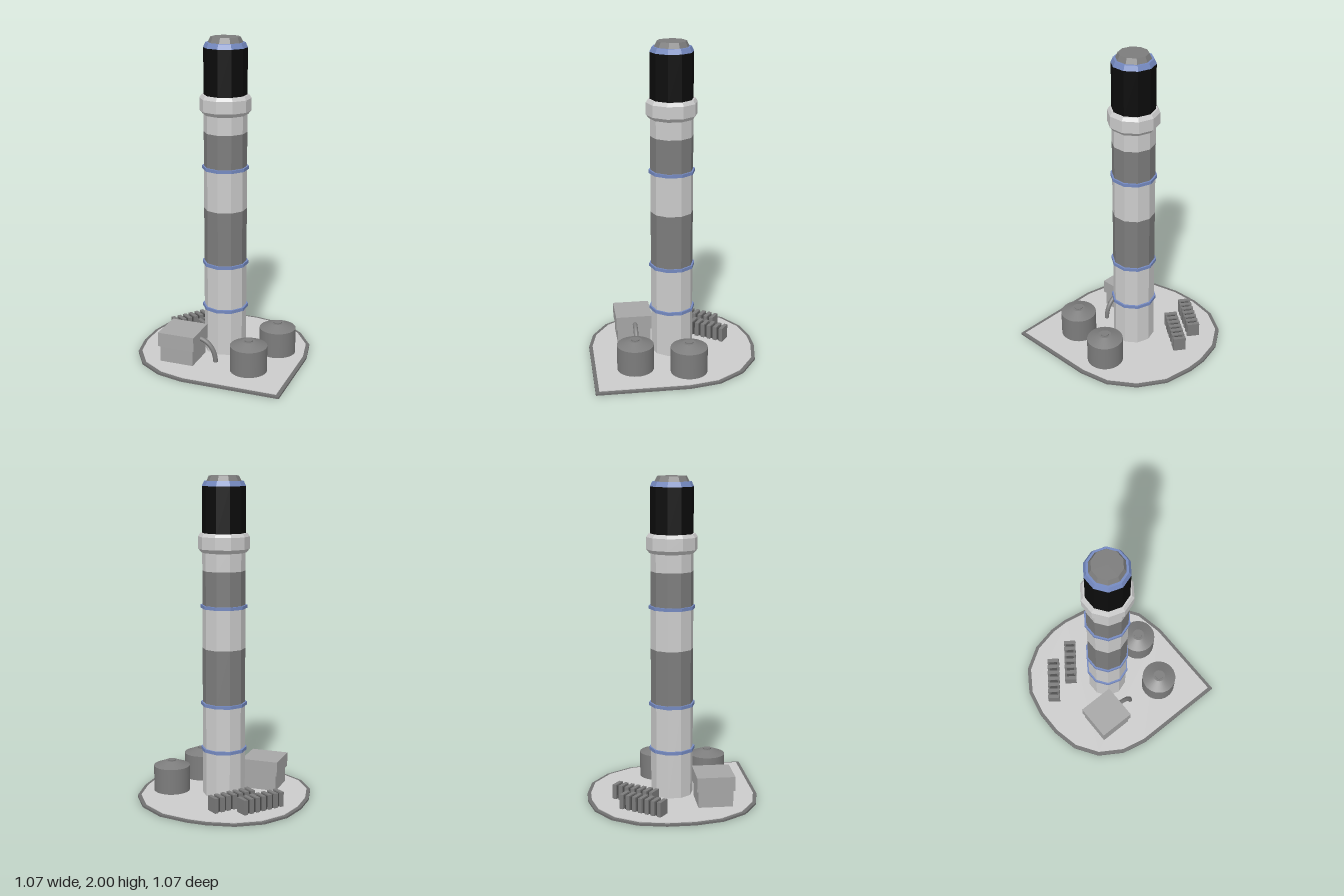
import * as THREE from 'three';

const mat = (color, flatShading = false) =>
  new THREE.MeshStandardMaterial({ color, flatShading, side: THREE.DoubleSide });
const light = mat(0xcccccc, true);
const mid = mat(0xa6a6a6, true);
const dark = mat(0x7c7c7c, true);
const rimGrey = mat(0x707070, true);
const core = mat(0x4a4a4a, true);
const black = mat(0x0b0b0b, true);
const blue = mat(0x7489c0, true);
const tankGrey = mat(0x7c7c7c);

function add(parent, name, geometry, material, x = 0, y = 0, z = 0) {
  const mesh = new THREE.Mesh(geometry, material);
  mesh.name = name;
  mesh.position.set(x, y, z);
  parent.add(mesh);
  return mesh;
}

// Ten-sided section of the tower between two heights
function section(parent, name, y0, y1, r0, r1, material) {
  add(parent, name, new THREE.CylinderGeometry(r1, r0, y1 - y0, 10), material, 0, (y0 + y1) / 2, 0);
}

// Flat slab from the pad outline (x, z), scaled inward
function padSlab(scale, height) {
  const outline = [
    [-0.086, -0.535], [0.037, -0.535], [0.223, -0.5], [0.386, -0.39], [0.494, -0.23],
    [0.531, -0.04], [0.531, 0.53], [-0.086, 0.53], [-0.251, 0.493], [-0.4, 0.399],
    [-0.497, 0.253], [-0.534, 0.083], [-0.534, -0.089], [-0.497, -0.26], [-0.4, -0.406],
    [-0.251, -0.5],
  ];
  const shape = new THREE.Shape(outline.map(([x, z]) => new THREE.Vector2(x * scale, -z * scale)));
  return new THREE.ExtrudeGeometry(shape, { depth: height, bevelEnabled: false }).rotateX(-Math.PI / 2);
}

function makeTower() {
  const tower = new THREE.Group();
  tower.name = 'tower';
  const R = 0.132;
  // Shaft with alternating light and dark bands
  [[0.01, 0.6, light], [0.6, 0.95, dark], [0.95, 1.21, light], [1.21, 1.43, dark], [1.43, 1.56, light]]
    .forEach(([a, b, m], i) => section(tower, `shaftBand${i + 1}`, a, b, R, R, m));
  // Thin rings around the shaft
  [0.31, 0.6, 1.21].forEach((y, i) =>
    section(tower, `shaftRing${i + 1}`, y - 0.01, y + 0.01, 0.143, 0.143, blue));
  // Chamfered collar
  section(tower, 'collarLower', 1.54, 1.563, 0.137, 0.157, light);
  section(tower, 'collarMiddle', 1.563, 1.637, 0.157, 0.157, light);
  section(tower, 'collarUpper', 1.637, 1.658, 0.157, 0.143, light);
  // Black head, chamfered ring and cap
  section(tower, 'head', 1.65, 1.938, R, R, black);
  section(tower, 'headRing', 1.938, 1.968, 0.133, 0.119, blue);
  section(tower, 'cap', 1.967, 2, 0.106, 0.09, dark);
  return tower;
}

function makeTank(x, z) {
  const tank = new THREE.Group();
  tank.name = 'tank';
  tank.position.set(x, 0, z);
  add(tank, 'tankWall', new THREE.CylinderGeometry(0.114, 0.114, 0.168, 32), tankGrey, 0, 0.094, 0);
  add(tank, 'tankRoof', new THREE.CylinderGeometry(0.04, 0.114, 0.03, 32, 1, false), tankGrey, 0, 0.193, 0);
  add(tank, 'tankHatch', new THREE.CylinderGeometry(0.026, 0.026, 0.012, 24), tankGrey, 0, 0.209, 0);
  return tank;
}

// Row of upright fins along a dark core
function makeFinRow(x, z) {
  const row = new THREE.Group();
  row.name = 'finRow';
  row.position.set(x, 0, z);
  row.rotation.y = Math.atan2(0.211, 0.157);
  const count = 7, pitch = 0.044;
  add(row, 'finCore', new THREE.BoxGeometry(pitch * (count - 1), 0.088, 0.05), core, 0, 0.056, 0);
  for (let i = 0; i < count; i++) {
    add(row, 'fin', new THREE.BoxGeometry(0.024, 0.096, 0.08), dark, (i - (count - 1) / 2) * pitch, 0.06, 0);
  }
  return row;
}

export function createModel() {
  const model = new THREE.Group();
  model.name = 'towerSite';

  // Ground pad with a darker rim
  add(model, 'padRim', padSlab(1, 0.012), rimGrey);
  add(model, 'padTop', padSlab(0.958, 0.016), light);

  model.add(makeTower());
  model.add(makeTank(0.331, -0.06), makeTank(0.251, 0.263));
  model.add(makeFinRow(-0.313, -0.211), makeFinRow(-0.139, -0.243));

  // Service building with overhanging upper block
  add(model, 'buildingBase', new THREE.BoxGeometry(0.216, 0.11, 0.214), mid, -0.195, 0.065, 0.234);
  add(model, 'buildingTop', new THREE.BoxGeometry(0.237, 0.09, 0.234), mid, -0.195, 0.163, 0.234);

  // Pipe bending from the building down to the pad
  const bend = new THREE.CubicBezierCurve3(
    new THREE.Vector3(-0.085, 0.158, 0.23), new THREE.Vector3(-0.02, 0.145, 0.23),
    new THREE.Vector3(0.022, 0.09, 0.23), new THREE.Vector3(0.022, 0.01, 0.23));
  add(model, 'pipe', new THREE.TubeGeometry(bend, 16, 0.015, 12), tankGrey);

  return model;
}
